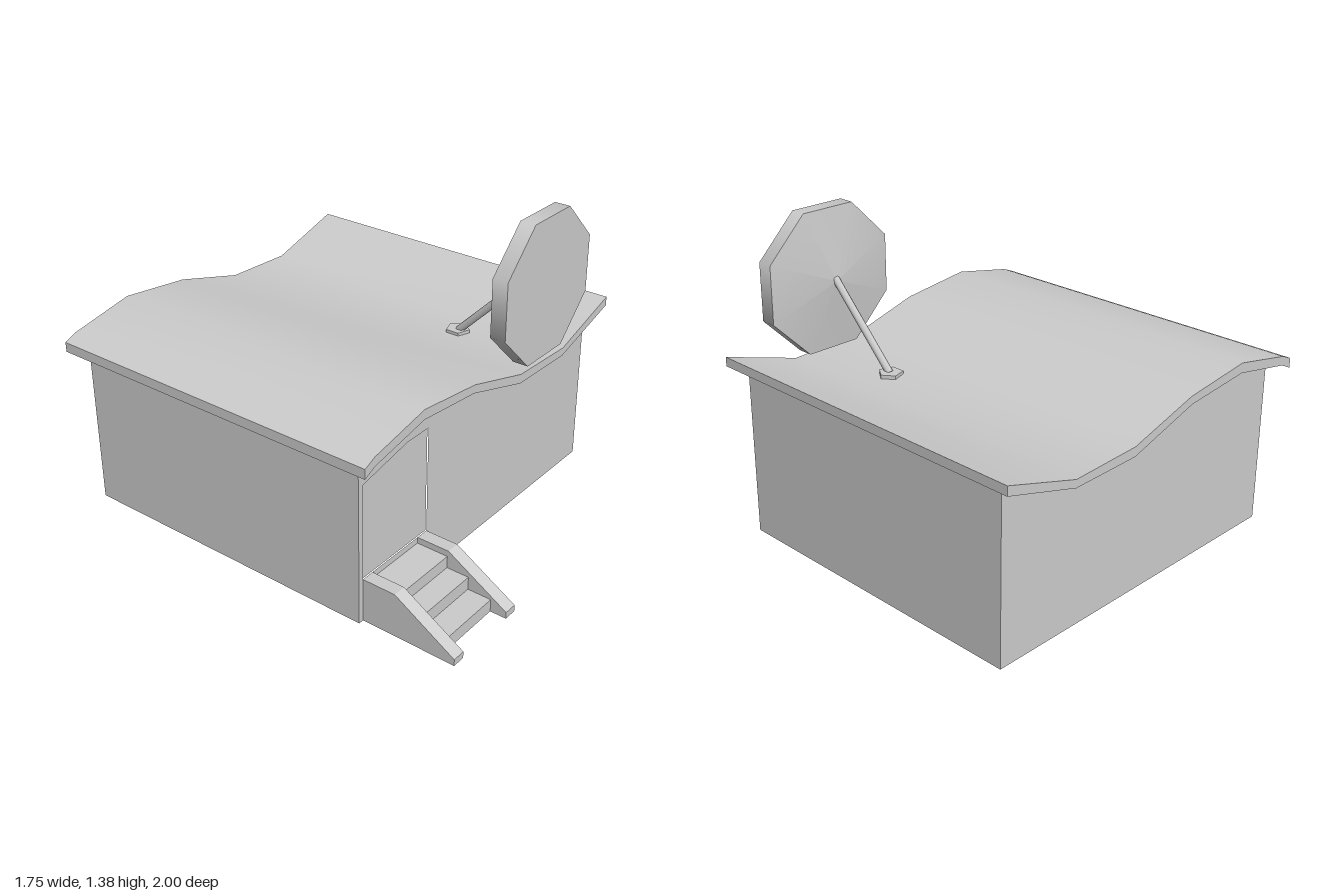
import * as THREE from 'three';
import { toCreasedNormals } from 'three/addons/utils/BufferGeometryUtils.js';

const solid = new THREE.MeshStandardMaterial({ color: 0xcccccc });
const flat = new THREE.MeshStandardMaterial({ color: 0xcccccc, flatShading: true });
const thin = new THREE.MeshStandardMaterial({ color: 0xcccccc, flatShading: true, side: THREE.DoubleSide });

const shapeOf = (pts) => new THREE.Shape(pts.map(([x, y]) => new THREE.Vector2(x, y)));
const prism = (pts, depth) => new THREE.ExtrudeGeometry(shapeOf(pts), { depth, bevelEnabled: false });

function add(parent, name, geometry, material, x = 0, y = 0, z = 0) {
  const mesh = new THREE.Mesh(geometry, material);
  mesh.name = name;
  mesh.position.set(x, y, z);
  parent.add(mesh);
  return mesh;
}

// Wavy roof section, left to right
const roofTop = [[-0.88, 0.78], [-0.82, 0.805], [-0.515, 0.865], [-0.175, 0.824], [0.17, 0.724], [0.51, 0.711], [0.875, 0.822]];
const roofUnder = [[-0.88, 0.735], [-0.82, 0.763], [-0.515, 0.82], [-0.18, 0.787], [0.17, 0.681], [0.51, 0.675], [0.875, 0.78]];

const WALL = 0.82, FRONT = 0.56, BACK = -0.92;
const DOOR_R = -0.795, DOOR_L = -0.377;
const doorTop = [[DOOR_L, 0.69], [-0.515, 0.69], [DOOR_R, 0.635]];

function buildWalls() {
  const walls = new THREE.Group();
  walls.name = 'walls';
  const top = [[WALL, 0.763], ...roofUnder.slice(1, 6).reverse()];

  // Front wall has an opening for the door and the stairs
  const front = [[-WALL, 0], [DOOR_R, 0], ...[...doorTop].reverse(), [DOOR_L, 0], [WALL, 0], ...top];
  add(walls, 'frontWall', new THREE.ShapeGeometry(shapeOf(front)), thin, 0, 0, FRONT);
  const back = new THREE.ShapeGeometry(shapeOf([[-WALL, 0], [WALL, 0], ...top])).rotateY(Math.PI);
  back.scale(-1, 1, 1); // keep the wave aligned with the roof
  add(walls, 'backWall', back, thin, 0, 0, BACK);

  for (const s of [-1, 1]) {
    const side = new THREE.PlaneGeometry(FRONT - BACK, 0.763).rotateY(s * Math.PI / 2);
    add(walls, s > 0 ? 'leftWall' : 'rightWall', side, thin, s * WALL, 0.3815, (FRONT + BACK) / 2);
  }
  return walls;
}

function buildStairs() {
  const stairs = new THREE.Group();
  stairs.name = 'stairs';

  // Sloping side boards, drawn as (z, y)
  const board = [[FRONT, 0], [1, 0], [1, 0.03], [0.715, 0.2], [FRONT, 0.2]];
  for (const [name, x0, x1] of [['rightStringer', DOOR_R, -0.735], ['leftStringer', -0.438, DOOR_L]])
    add(stairs, name, prism(board, x1 - x0).rotateY(-Math.PI / 2), flat, x1);

  // Folded strip of treads and risers, listed from the top as (z, y)
  const fold = [[FRONT, 0.2], [FRONT, 0.172], [0.71, 0.172], [0.71, 0.117], [0.815, 0.117], [0.815, 0.058], [0.925, 0.058], [0.925, 0]];
  const strip = new THREE.PlaneGeometry(0.297, 1, 1, fold.length - 1);
  const pos = strip.attributes.position;
  fold.forEach(([z, y], i) => {
    for (let j = 0; j < 2; j++) pos.setXYZ(2 * i + j, pos.getX(2 * i + j), y, z);
  });
  strip.computeVertexNormals();
  add(stairs, 'steps', strip, thin, -0.5865);
  return stairs;
}

function buildDish() {
  const dish = new THREE.Group();
  dish.name = 'satelliteDish';
  const R = 0.346, x = 0.352, y = 1.06, turn = Math.PI / 8;

  // Octagonal drum with flat face and shallow cone behind
  add(dish, 'dishRim', new THREE.CylinderGeometry(R, R, 0.073, 8, 1, true, turn).rotateX(Math.PI / 2), solid, x, y, 0.6035);
  add(dish, 'dishFace', new THREE.CircleGeometry(R, 8, turn), solid, x, y, 0.64);
  add(dish, 'dishBack', new THREE.ConeGeometry(R, 0.043, 8, 1, true, turn).rotateX(-Math.PI / 2), solid, x, y, 0.5455);

  // Slanted strut and its foot plate
  const low = new THREE.Vector3(x, 0.725, 0.195), high = new THREE.Vector3(x, 1.07, 0.535);
  const dir = high.clone().sub(low);
  const strut = add(dish, 'strut', new THREE.CylinderGeometry(0.017, 0.017, dir.length(), 6), solid);
  strut.position.copy(low).add(high).multiplyScalar(0.5);
  strut.quaternion.setFromUnitVectors(new THREE.Vector3(0, 1, 0), dir.normalize());
  add(dish, 'strutFoot', new THREE.CylinderGeometry(0.055, 0.055, 0.035, 5, 1, false, Math.PI / 2), flat, x, 0.715, 0.19);
  return dish;
}

export function createModel() {
  const model = new THREE.Group();
  model.name = 'cabin';
  model.add(buildWalls(), buildStairs(), buildDish());

  // Roof slab, smooth along the wave with sharp edges
  const roof = prism([...roofUnder, ...[...roofTop].reverse()], 1.64);
  add(model, 'roof', toCreasedNormals(roof, 0.6), solid, 0, 0, -1);

  // Door block set into the front wall
  const door = prism([[DOOR_R, 0.2], [DOOR_L, 0.2], ...doorTop], 0.31);
  add(model, 'door', door, flat, 0, 0, 0.245);
  return model;
}
